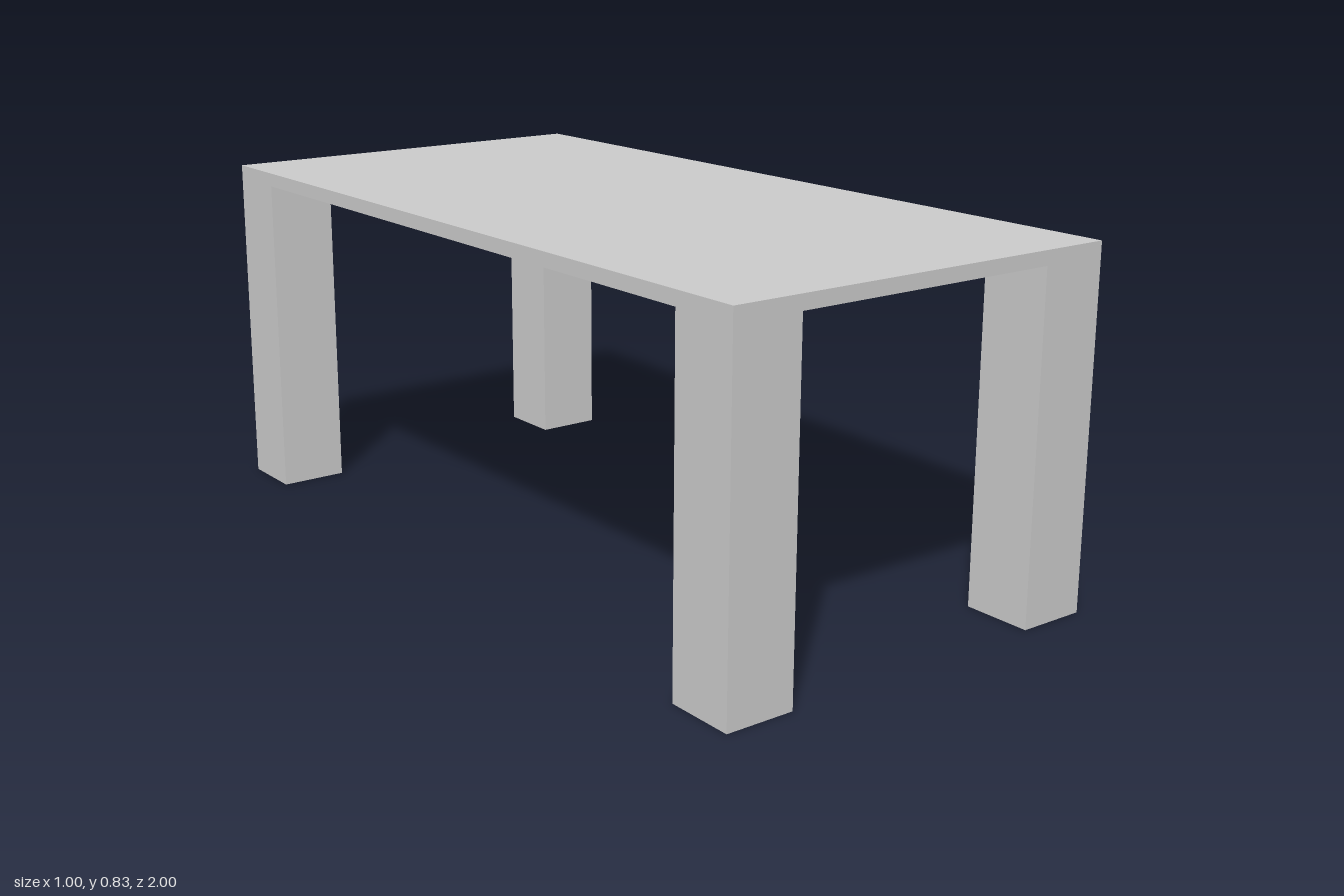
import * as THREE from 'three';

const WIDTH = 1, DEPTH = 2;
const LEG = 1 / 6, LEG_HEIGHT = 0.8, TOP_THICKNESS = 1 / 30;

export function createModel() {
  const table = new THREE.Group();
  table.name = 'table';
  const material = new THREE.MeshStandardMaterial({ color: 0xcccccc, flatShading: true });

  // Thin slab top
  const top = new THREE.Mesh(new THREE.BoxGeometry(WIDTH, TOP_THICKNESS, DEPTH), material);
  top.name = 'tableTop';
  top.position.y = LEG_HEIGHT + TOP_THICKNESS / 2;
  table.add(top);

  // Four square legs, flush with the corners of the top
  const legGeometry = new THREE.BoxGeometry(LEG, LEG_HEIGHT, LEG);
  for (const [zName, sz] of [['front', 1], ['back', -1]]) {
    for (const [xName, sx] of [['Left', 1], ['Right', -1]]) {
      const leg = new THREE.Mesh(legGeometry, material);
      leg.name = `${zName}${xName}Leg`;
      leg.position.set(sx * (WIDTH - LEG) / 2, LEG_HEIGHT / 2, sz * (DEPTH - LEG) / 2);
      table.add(leg);
    }
  }
  return table;
}
